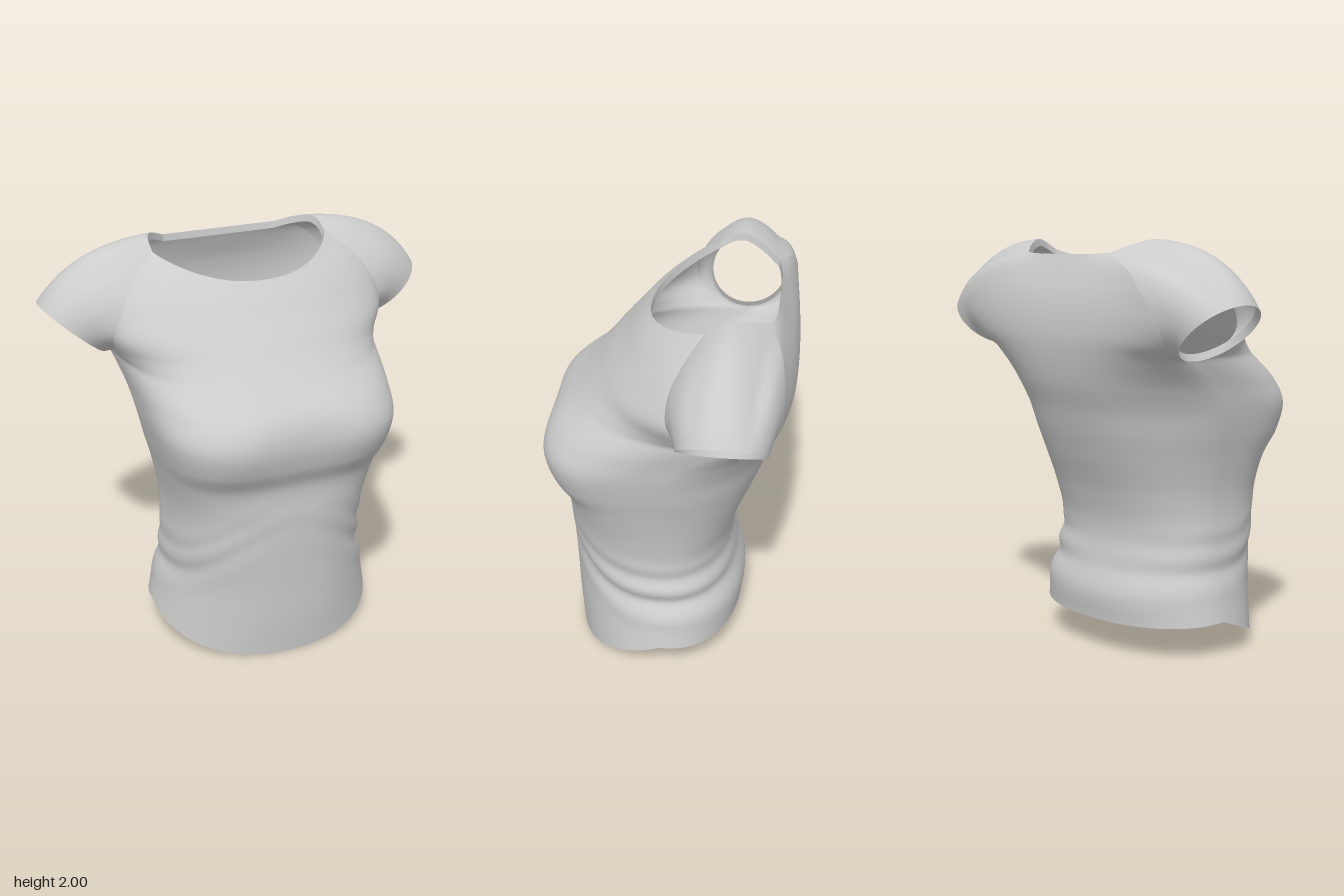
import * as THREE from 'three';
import { mergeGeometries, mergeVertices } from 'three/addons/utils/BufferGeometryUtils.js';

const V = (x, y, z) => new THREE.Vector3(x, y, z);
const LOW = 9, TOP = 14;            // key rows: hem to armpit, armpit to neck
const LOW_ROWS = 80, UP_ROWS = 24, COLS = 64, NECK_COLS = 14, SLEEVE_ROWS = 18;

// Side line from hem to armpit, then the front and back armhole seams up to the neck
const side = [[.578, .18, 0], [.55, .31, 0], [.515, .44, .01], [.5, .6, .03], [.51, .78, .04],
  [.545, .96, .05], [.575, 1.08, .05], [.6, 1.2, .04], [.618, 1.32, -.08], [.65, 1.46, -.3]];
const frontSeam = [[.67, 1.5, -.155], [.695, 1.6, -.055], [.65, 1.73, -.05], [.57, 1.85, -.105], [.45, 1.95, -.19]];
const backSeam = [[.665, 1.5, -.455], [.69, 1.6, -.53], [.63, 1.73, -.557], [.49, 1.862, -.537], [.3, 1.938, -.475]];
// Centre lines (y, z)
const frontMid = [[0, .47], [.18, .485], [.38, .492], [.58, .5], [.78, .507], [.94, .512], [1.06, .565], [1.19, .59],
  [1.31, .565], [1.45, .437], [1.53, .365], [1.61, .3], [1.69, .23], [1.77, .165], [1.84, .1]];
const backMid = [[.16, -.37], [.29, -.38], [.43, -.34], [.6, -.317], [.78, -.355], [.96, -.425], [1.08, -.47], [1.2, -.51],
  [1.33, -.56], [1.46, -.59], [1.55, -.6], [1.65, -.595], [1.75, -.575], [1.84, -.54], [1.93, -.5]];
// Roundness of each cross-section: t^n + b^m = 1
const frontN = [2.2, 2.2, 2.3, 2.4, 2.6, 3, 3.4, 3.5, 3, 2.55, 2.35, 2.2, 2.2, 2.2, 2.2];
const backN = [2.2, 2.2, 2.2, 2.2, 2.3, 2.3, 2.3, 2.3, 2.3, 2.3, 2.3, 2.3, 2.4, 2.6, 3];
const upperM = [1.95, 1.45, 1.15, 1.12, 1.2];

const curve = (pts) => new THREE.CatmullRomCurve3(pts.map((p) => V(...p)));
// Curve in two pieces so front and back share the line below the armpit
function rail(keys) {
  const low = curve(keys.slice(0, LOW + 1)), up = curve(keys.slice(LOW));
  return (k) => (k <= LOW ? low.getPoint(k / LOW) : up.getPoint((k - LOW) / (TOP - LOW)));
}
const bell = (x, w) => Math.exp(-((x / w) ** 2));

// Draped folds around the waist, strongest on the left hip and fading across the front
function waistFold(p) {
  if (p.y > 1.15) return p;
  const a = Math.atan2(p.z, p.x), s = Math.max(0, Math.sin(a)), c = Math.cos(a);
  const h = p.y - .44 - .3 * s ** 3;
  const weight = .06 + c * c * (c > 0 ? .94 : .35);
  const d = weight * (.016 * bell(h - .045, .04) - .015 * bell(h + .025, .035)
    + .007 * bell(h - .17, .04) - .005 * bell(h - .11, .03) + .009 * bell(h + .11, .05));
  const r = Math.hypot(p.x, p.z);
  return V(p.x + d * p.x / r - .012 * bell(p.y - .58, .15), p.y, p.z + d * p.z / r);
}

// Slight fullness on each side of the chest
function chest(p) {
  const front = THREE.MathUtils.smoothstep(p.z, .2, .5);
  p.z += .017 * front * bell(p.y - 1.18, .17) * bell(Math.abs(p.x) - .31, .16);
  return p;
}

// One half of the body, as a function of key row k and column u
function halfBody(seam, mid, nKeys) {
  const edge = rail([...side, ...seam]);
  const centre = curve(mid.map(([y, z]) => [0, y, z]));
  const roundness = curve(nKeys.map((n, i) => [n, i <= LOW ? n : upperM[i - LOW - 1], i * .3]));
  const dir = seam === frontSeam ? 1 : -1;
  const point = (k, u) => {
    const S = edge(k), C = centre.getPoint(k / TOP), { x: n, y: m } = roundness.getPoint(k / TOP);
    const w = u - .7 * Math.sin(2 * Math.PI * u) / (2 * Math.PI);
    const t = Math.cos(Math.PI * w);
    const b = Math.max(0, 1 - Math.abs(t) ** n) ** (1 / m);
    return waistFold(chest(V(dir * t * S.x, S.y + (C.y - S.y) * b, S.z + (C.z - S.z) * b)));
  };
  return { edge, point };
}

// Surface from a rectangular grid of points
function surface(rows, cols, at) {
  const pos = [], index = [];
  for (let i = 0; i <= rows; i++) for (let j = 0; j <= cols; j++) {
    const p = at(i, j);
    pos.push(p.x, p.y, p.z);
    if (i < rows && j < cols) {
      const a = i * (cols + 1) + j, c = a + cols + 1;
      index.push(a, c, a + 1, a + 1, c, c + 1);
    }
  }
  const g = new THREE.BufferGeometry();
  g.setAttribute('position', new THREE.Float32BufferAttribute(pos, 3));
  g.setIndex(index);
  return g;
}

export function createModel() {
  const group = new THREE.Group();
  const cloth = new THREE.MeshStandardMaterial({ color: 0xcccccc, side: THREE.DoubleSide });
  const add = (name, geometry) => {
    const mesh = new THREE.Mesh(geometry, cloth);
    mesh.name = name;
    group.add(mesh);
  };

  // Front and back panels
  const front = halfBody(frontSeam, frontMid, frontN);
  const back = halfBody(backSeam, backMid, backN);
  const rowKey = (i) => (i <= LOW_ROWS ? LOW * i / LOW_ROWS : LOW + (TOP - LOW) * (i - LOW_ROWS) / UP_ROWS);
  const panel = (half) => surface(LOW_ROWS + UP_ROWS, COLS, (i, j) => half.point(rowKey(i), j / COLS));

  // Armhole loop: up the front seam, along the neck, down the back seam
  const neckSide = new THREE.CatmullRomCurve3([front.edge(TOP), V(.448, 1.985, -.25), V(.428, 2, -.31),
    V(.37, 1.975, -.4), back.edge(TOP)]);
  const loop = [];
  for (let i = 0; i <= UP_ROWS; i++)
    loop.push({ p: front.edge(rowKey(LOW_ROWS + i)), a: .8 * (i / UP_ROWS) ** .8 });
  for (let i = 1; i < NECK_COLS; i++)
    loop.push({ p: neckSide.getPoint(i / NECK_COLS), a: .8 + .4 * i / NECK_COLS });
  for (let i = UP_ROWS; i >= 0; i--)
    loop.push({ p: back.edge(rowKey(LOW_ROWS + i)), a: 2 - .8 * (i / UP_ROWS) ** .8 });
  const last = loop.length - 1;

  // Sleeve: each loop point sweeps over the shoulder to the slanted cuff
  const cuff = (a, r = 1) => V(.836 - .154 * r * Math.cos(Math.PI * a), 1.59 - .13 * r * Math.cos(Math.PI * a),
    -.305 + .2 * r * Math.sin(Math.PI * a));
  const sleevePoint = (v, { p, a }) => {
    const end = cuff(a), h = ((1 - Math.cos(Math.PI * a)) / 2) ** 1.4;
    const ctrl = p.clone().add(end).multiplyScalar(.5).add(V(.115 * h, .125 * h, 0));
    return new THREE.QuadraticBezierCurve3(p, ctrl, end).getPoint(v);
  };
  const mirrored = (s, p) => V(s * p.x, p.y, p.z);
  const sleeve = (s) => surface(SLEEVE_ROWS, last, (i, j) =>
    mirrored(s, sleevePoint(i / SLEEVE_ROWS, loop[s > 0 ? j : last - j])));

  // Weld all panels for continuous normals, then split them into named parts
  const parts = [['frontPanel', panel(front)], ['backPanel', panel(back)],
    ['leftSleeve', sleeve(1)], ['rightSleeve', sleeve(-1)]];
  const welded = mergeVertices(mergeGeometries(parts.map((q) => q[1])), 1e-4);
  welded.computeVertexNormals();
  const flat = welded.toNonIndexed();
  let start = 0;
  for (const [name, g] of parts) {
    const end = start + g.index.count * 3, part = new THREE.BufferGeometry();
    for (const key of ['position', 'normal'])
      part.setAttribute(key, new THREE.BufferAttribute(flat.attributes[key].array.slice(start, end), 3));
    add(name, part);
    start = end;
  }

  // Neck facing, a narrow band turned inside the neckline
  const ring = [];
  for (let j = 0; j < COLS; j++) ring.push(front.point(TOP, j / COLS));
  for (let j = 0; j < NECK_COLS; j++) ring.push(mirrored(-1, neckSide.getPoint(j / NECK_COLS)));
  for (let j = 0; j < COLS; j++) ring.push(back.point(TOP, j / COLS));
  for (let j = NECK_COLS; j >= 0; j--) ring.push(neckSide.getPoint(j / NECK_COLS));
  const neckFacing = surface(1, ring.length - 1, (i, j) => {
    const p = ring[j];
    return i ? p : V(p.x * .985, p.y - .035, -.2 + (p.z + .2) * .985);
  });
  neckFacing.computeVertexNormals();
  add('neckFacing', neckFacing);

  // Cuff facings, turned inside each sleeve opening
  for (const s of [1, -1]) {
    const facing = surface(1, 48, (i, j) => {
      const p = cuff(s * j / 24, i ? .95 : 1);
      return mirrored(s, i ? p.add(V(-.022, .026, 0)) : p);
    });
    facing.computeVertexNormals();
    add(s > 0 ? 'leftCuffFacing' : 'rightCuffFacing', facing);
  }
  return group;
}
